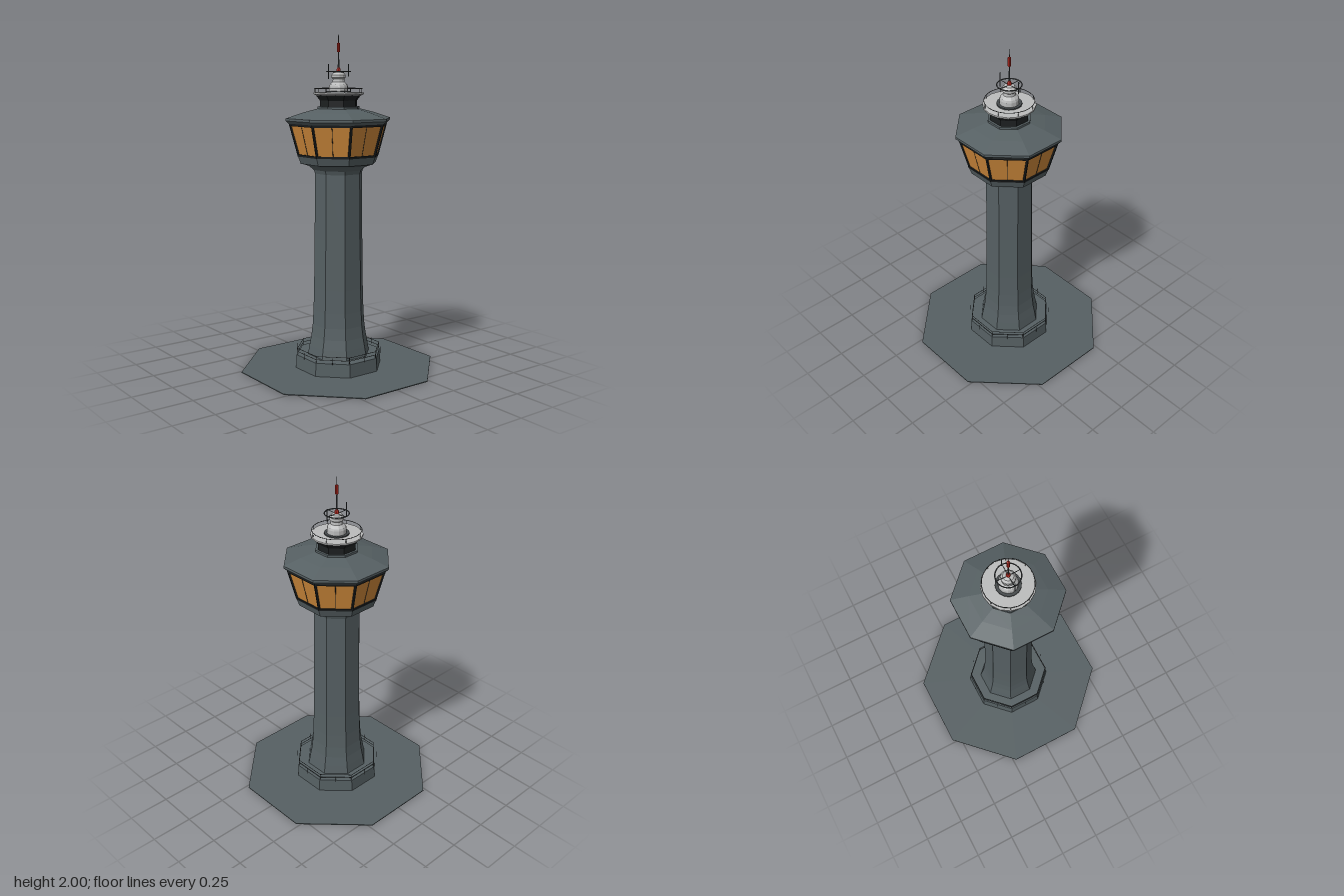
import * as THREE from 'three';

const flat = (name, color) => {
  const m = new THREE.MeshStandardMaterial({ color, flatShading: true, side: THREE.DoubleSide });
  m.name = name;
  return m;
};

export function createModel() {
  const concrete = flat('slate concrete', 0x566063);
  const frame = flat('black frame', 0x1d2021);
  const glass = flat('amber glass', 0xd38c3c);
  const pale = flat('pale grey metal', 0xbcbdbd);
  const steel = flat('dark steel', 0x45494b);
  const red = flat('signal red', 0xc02a20);

  const model = new THREE.Group();
  model.name = 'controlTower';
  const C8 = Math.cos(Math.PI / 8);

  const add = (name, geometry, material, parent = model) => {
    const mesh = new THREE.Mesh(geometry, material);
    mesh.name = name;
    parent.add(mesh);
    return mesh;
  };
  // Octagonal solid from [apothem, height] pairs, flats facing the axes
  const octagon = (name, profile, material) => add(name, new THREE.LatheGeometry(
    profile.map(([a, y]) => new THREE.Vector2(a / C8, y)), 8, Math.PI / 8), material);
  const round = (name, profile, material, sides = 16) => add(name, new THREE.LatheGeometry(
    profile.map(([r, y]) => new THREE.Vector2(r, y)), sides), material);
  // Straight bar between two points
  const bar = (name, a, b, r, material, parent = model, sides = 6) => {
    const d = b.clone().sub(a);
    const m = add(name, new THREE.CylinderGeometry(r, r, d.length(), sides), material, parent);
    m.position.copy(a).add(b).multiplyScalar(0.5);
    m.quaternion.setFromUnitVectors(new THREE.Vector3(0, 1, 0), d.normalize());
    return m;
  };
  const polar = (r, angle, y) => new THREE.Vector3(r * Math.sin(angle), y, r * Math.cos(angle));
  // Railing: horizontal rings on evenly spaced posts
  const railing = (name, r, y0, heights, sides, posts, offset, tube, material) => {
    const g = new THREE.Group();
    g.name = name;
    model.add(g);
    for (const y of heights) {
      const ring = add('rail', new THREE.TorusGeometry(r, tube, 5, sides), material, g);
      ring.rotation.set(-Math.PI / 2, 0, offset);
      ring.position.y = y;
    }
    for (let i = 0; i < posts; i++) {
      const a = offset + i / posts * Math.PI * 2;
      bar('railPost', polar(r, a, y0), polar(r, a, heights.at(-1)), tube, material, g);
    }
  };

  // Ground pad, plinth and its railing
  octagon('groundPad', [[0, 0], [0.555, 0], [0.555, 0.005], [0, 0.005]], concrete);
  octagon('plinth', [[0.247, 0.005], [0.243, 0.085], [0, 0.088]], concrete);
  railing('plinthRailing', 0.238 / C8, 0.085, [0.105, 0.125], 8, 16, Math.PI / 8, 0.0018, steel);

  // Shaft flaring at both ends, carrying the cab floor
  octagon('shaft', [[0.178, 0.085], [0.169, 0.14], [0.158, 0.2], [0.15, 0.27], [0.145, 0.36], [0.141, 0.5],
    [0.137, 0.8], [0.133, 1.19], [0.14, 1.212], [0.165, 1.235], [0.205, 1.25]], concrete);
  octagon('cabFloor', [[0.13, 1.245], [0.213, 1.25], [0.228, 1.295], [0, 1.295]], concrete);

  // Outward-leaning glazing with sill, header and mullions
  octagon('windowSill', [[0.2, 1.293], [0.229, 1.293], [0.232, 1.306], [0.2, 1.306]], frame);
  octagon('windows', [[0.223, 1.303], [0.269, 1.482]], glass);
  octagon('windowHeader', [[0.24, 1.473], [0.274, 1.473], [0.278, 1.488], [0.24, 1.488]], frame);
  for (let i = 0; i < 8; i++) {
    const a = i * Math.PI / 4;
    const c = a + Math.PI / 8;
    bar('cornerMullion', polar(0.223 / C8, c, 1.3), polar(0.269 / C8, c, 1.482), 0.008, frame);
    bar('paneDivider', polar(0.223, a, 1.3), polar(0.269, a, 1.482), 0.0016, frame);
  }

  // Roof with a thin fascia and shallow slope
  octagon('roof', [[0, 1.485], [0.276, 1.485], [0.294, 1.503], [0.294, 1.517], [0.2, 1.55], [0.12, 1.572], [0, 1.572]], concrete);

  // Dark collar spreading under the upper deck
  octagon('collarBase', [[0.118, 1.568], [0.118, 1.584], [0, 1.584]], concrete);
  octagon('collar', [[0.105, 1.58], [0.105, 1.62], [0.128, 1.652]], frame);
  round('upperDeck', [[0, 1.65], [0.135, 1.65], [0.15, 1.657], [0.15, 1.666], [0, 1.668]], pale);
  railing('deckRailing', 0.142, 1.666, [1.69], 24, 8, Math.PI / 8, 0.002, steel);

  // Beacon housing
  round('housingSkirt', [[0.072, 1.667], [0.072, 1.674], [0.055, 1.674]], steel);
  round('beaconHousing', [[0.056, 1.667], [0.056, 1.7], [0.052, 1.712], [0.036, 1.728], [0.034, 1.745],
    [0.042, 1.752], [0.042, 1.768], [0.03, 1.782], [0, 1.79]], pale, 12);

  // Ring aerial with spokes and two side whips
  const ring = add('aerialRing', new THREE.TorusGeometry(0.07, 0.0035, 6, 24), steel);
  ring.rotation.x = Math.PI / 2;
  ring.position.y = 1.787;
  for (let i = 0; i < 4; i++) {
    const a = i * Math.PI / 2;
    bar('ringSpoke', polar(0.015, a, 1.784), polar(0.07, a, 1.787), 0.002, steel);
  }
  for (const s of [-1, 1]) {
    bar('sideWhip', new THREE.Vector3(s * 0.075, s < 0 ? 1.745 : 1.76, 0),
      new THREE.Vector3(s * 0.075, 1.832, 0), 0.003, steel);
  }

  // Mast with red beacon and marker
  round('beaconLamp', [[0.012, 1.785], [0.012, 1.8], [0.007, 1.81], [0, 1.812]], red, 8);
  round('mast', [[0.006, 1.805], [0.003, 1.88], [0.002, 2], [0, 2]], steel, 6);
  round('mastMarker', [[0, 1.9], [0.009, 1.9], [0.009, 1.952], [0, 1.955]], red, 8);

  return model;
}
